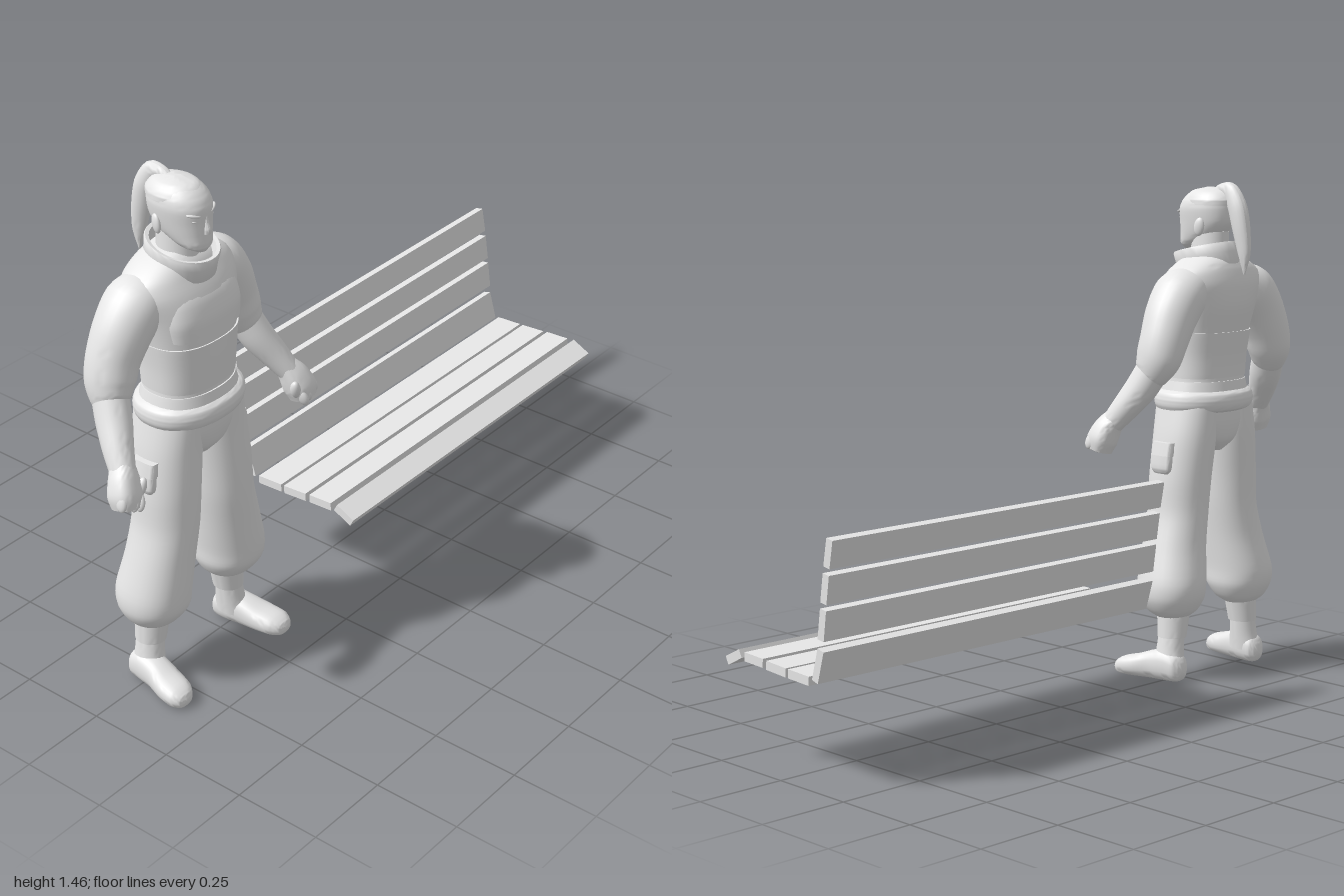
import * as THREE from 'three';
import { toCreasedNormals } from 'three/addons/utils/BufferGeometryUtils.js';

const gray = new THREE.MeshStandardMaterial({ color: 0xe7e7e7 });
gray.name = 'plain light gray';

function add(parent, name, geometry) {
  const mesh = new THREE.Mesh(geometry, gray);
  mesh.name = name;
  parent.add(mesh);
  return mesh;
}

// Smooth closed skin through elliptical rings [x, y, z, width radius, depth radius].
// dir fixes the ring axis (list rings along it); without it the rings follow the path.
function loft(rings, { n = 28, pow = 2, sub = 4, dir = null, ref = [0, 0, 1], crease = 0.8 } = {}) {
  const path = new THREE.CatmullRomCurve3(rings.map(r => new THREE.Vector3(r[0], r[1], r[2])), false, 'catmullrom', 0.4);
  const size = new THREE.CatmullRomCurve3(rings.map(r => new THREE.Vector3(r[3], r[4], 0)), false, 'catmullrom', 0.4);
  const steps = (rings.length - 1) * sub, pos = [], idx = [];
  const bend = v => Math.sign(v) * Math.pow(Math.abs(v), 2 / pow);
  const refV = new THREE.Vector3(...ref);
  for (let i = 0; i <= steps; i++) {
    const p = path.getPoint(i / steps), s = size.getPoint(i / steps);
    const t = dir ? new THREE.Vector3(...dir) : path.getTangent(i / steps);
    const u = new THREE.Vector3().crossVectors(t, refV).normalize();
    const w = new THREE.Vector3().crossVectors(u, t);
    for (let j = 0; j < n; j++) {
      const a = j / n * Math.PI * 2;
      const v = p.clone().addScaledVector(u, bend(Math.cos(a)) * s.x).addScaledVector(w, bend(Math.sin(a)) * s.y);
      pos.push(v.x, v.y, v.z);
    }
  }
  for (let i = 0; i < steps; i++) for (let j = 0; j < n; j++) {
    const a = i * n + j, b = i * n + (j + 1) % n;
    idx.push(a, a + n, b, b, a + n, b + n);
  }
  // end caps
  const first = path.getPoint(0), last = path.getPoint(1), c = pos.length / 3;
  pos.push(first.x, first.y, first.z, last.x, last.y, last.z);
  for (let j = 0; j < n; j++) {
    const k = (j + 1) % n;
    idx.push(c, j, k, c + 1, steps * n + k, steps * n + j);
  }
  const g = new THREE.BufferGeometry();
  g.setAttribute('position', new THREE.Float32BufferAttribute(pos, 3));
  g.setIndex(idx);
  return toCreasedNormals(g, crease);
}

const UP = [0, 1, 0];

function ball(parent, name, p, s, rot = [0, 0, 0]) {
  const m = add(parent, name, new THREE.SphereGeometry(1, 20, 14));
  m.position.set(...p); m.scale.set(...s); m.rotation.set(...rot);
}

function buildHead(man) {
  const head = new THREE.Group(); head.name = 'head'; man.add(head);
  add(head, 'skull', loft([
    [0, 1.266, .075, .016, .016], [0, 1.282, .058, .042, .042], [0, 1.31, .028, .055, .072],
    [0, 1.345, .013, .063, .087], [0, 1.385, .01, .068, .09], [0, 1.412, .005, .063, .082],
    [0, 1.434, .002, .045, .06], [0, 1.445, 0, .012, .018]], { dir: UP, pow: 2.2 }));
  add(head, 'neck', loft([[0, 1.2, 0, .055, .06], [0, 1.32, 0, .05, .058]], { dir: UP }));
  // cropped hair cap, set slightly back
  add(head, 'hairCap', loft([
    [0, 1.398, -.004, .067, .08], [0, 1.414, -.002, .065, .083],
    [0, 1.437, -.002, .046, .062], [0, 1.448, -.004, .012, .018]], { dir: UP }));
  add(head, 'nose', loft([
    [0, 1.318, .1, .01, .008], [0, 1.328, .098, .01, .013], [0, 1.35, .094, .007, .011],
    [0, 1.37, .092, .006, .008]], { dir: UP, n: 12 }));
  ball(head, 'mouth', [0, 1.302, .09], [.018, .004, .008]);
  for (const s of [-1, 1]) {
    ball(head, 'brow', [s * .03, 1.373, .086], [.024, .005, .01], [0, s * .35, s * .25]);
    ball(head, 'eye', [s * .028, 1.358, .085], [.012, .004, .008], [0, s * .3, 0]);
    ball(head, 'ear', [s * .063, 1.335, -.012], [.009, .027, .016], [-.15, s * .3, 0]);
  }
  // tied ponytail arching down behind the head
  add(head, 'ponytail', loft([
    [0, 1.425, -.02, .018, .016], [0, 1.442, -.045, .018, .015], [0, 1.436, -.078, .027, .02],
    [0, 1.39, -.105, .031, .025], [0, 1.33, -.12, .029, .023], [0, 1.26, -.132, .021, .015],
    [0, 1.2, -.133, .003, .003]], { n: 16, ref: [1, 0, 0] }));
}

function buildTorso(man) {
  add(man, 'jacket', loft([
    [0, .845, .02, .135, .105], [0, .9, .02, .127, .098], [0, 1.0, .02, .132, .106],
    [0, 1.1, .008, .15, .117], [0, 1.165, -.004, .17, .107], [0, 1.205, -.01, .158, .092],
    [0, 1.235, -.012, .112, .078], [0, 1.26, -.012, .06, .055]], { dir: UP, pow: 2.4, n: 40 }));
  // close-fitting wrap over the lower ribs
  add(man, 'waistWrap', loft([
    [0, .895, .02, .129, .1], [0, .96, .02, .132, .105], [0, 1.03, .017, .139, .113]],
  { dir: UP, pow: 2.5, n: 40 }));
  add(man, 'chestPanel', loft([
    [0, 1.05, .06, .122, .067], [0, 1.1, .055, .13, .071], [0, 1.15, .04, .126, .07],
    [0, 1.19, .02, .105, .062]], { dir: UP, pow: 3 }));
  add(man, 'hem', loft([
    [0, .85, .02, .14, .11], [0, .885, .02, .131, .103]], { dir: UP, pow: 2.3, n: 36 }));
  add(man, 'belt', loft([
    [0, .793, .02, .135, .102], [0, .803, .02, .153, .12], [0, .828, .02, .159, .127],
    [0, .85, .02, .153, .12], [0, .86, .02, .135, .102]], { dir: UP, pow: 2.2, n: 40 }));
  // tilted open collar
  const rim = [[.088, -.05], [.1, -.034], [.1, 0], [.103, .024], [.1, .029], [.09, .027], [.08, -.03]];
  const collar = add(man, 'collar', toCreasedNormals(
    new THREE.LatheGeometry(rim.map(p => new THREE.Vector2(...p)), 36), .8));
  collar.position.set(0, 1.244, .01);
  collar.rotation.x = .22;
  collar.scale.x = .88;
}

function buildArm(man, s) {
  const arm = new THREE.Group(); arm.name = s > 0 ? 'leftArm' : 'rightArm'; man.add(arm);
  add(arm, 'sleeve', loft([
    [s * .09, 1.178, -.015, .05, .065], [s * .145, 1.143, -.018, .077, .081],
    [s * .19, 1.085, -.022, .077, .077], [s * .223, 1.02, -.026, .07, .071],
    [s * .243, .965, -.022, .063, .068], [s * .258, .925, -.01, .05, .055],
    [s * .268, .905, 0, .038, .04]]));
  add(arm, 'forearm', loft([
    [s * .25, .95, -.02, .046, .05], [s * .274, .88, .015, .045, .049],
    [s * .3, .825, .05, .039, .042], [s * .322, .775, .085, .032, .034]]));
  // closed fist with curled fingers and thumb
  add(arm, 'fist', loft([
    [s * .316, .79, .078, .028, .03], [s * .33, .76, .095, .038, .036],
    [s * .341, .725, .108, .042, .04], [s * .346, .695, .115, .034, .034]], { pow: 2.8, crease: 1.1 }));
  for (let i = 0; i < 4; i++)
    ball(arm, 'finger', [s * (.32 + i * .017), .708 + i * .006, .135 - i * .004], [.0115, .027, .018], [-.3, 0, s * .25]);
  ball(arm, 'thumb', [s * .303, .735, .125], [.014, .03, .015], [.2, 0, s * .3]);
}

function buildLeg(man, s) {
  const leg = new THREE.Group(); leg.name = s > 0 ? 'leftLeg' : 'rightLeg'; man.add(leg);
  add(leg, 'baggyTrouser', loft([
    [s * .15, .188, 0, .042, .042], [s * .15, .21, .002, .073, .072], [s * .15, .25, .005, .094, .097],
    [s * .148, .3, .006, .096, .103], [s * .128, .4, .016, .089, .095], [s * .108, .5, .021, .083, .093],
    [s * .1, .6, .02, .084, .095], [s * .087, .72, .016, .082, .098], [s * .075, .82, .017, .073, .1]],
  { dir: UP, pow: 2.15, n: 32 }));
  // thigh pocket with flap
  add(leg, 'thighPocket', loft([
    [s * .178, .618, .02, .01, .025], [s * .178, .635, .02, .017, .035], [s * .172, .7, .02, .017, .035]],
  { dir: UP, pow: 4, n: 20 }));
  add(leg, 'pocketFlap', loft([
    [s * .175, .672, .02, .02, .038], [s * .169, .71, .02, .018, .037]], { dir: UP, pow: 4, n: 20 }));
  add(leg, 'ankleCuff', loft([
    [s * .158, .13, -.005, .041, .044], [s * .15, .2, -.003, .048, .049]], { dir: UP }));
  add(leg, 'ankle', loft([
    [s * .172, .04, -.004, .041, .052], [s * .165, .09, -.004, .038, .043], [s * .158, .15, -.005, .036, .039]], { dir: UP }));
  add(leg, 'shoe', loft([
    [s * .171, .035, -.059, .018, .022], [s * .172, .04, -.046, .034, .038], [s * .175, .047, -.01, .041, .047],
    [s * .183, .043, .04, .041, .043], [s * .194, .034, .09, .046, .034], [s * .202, .028, .135, .043, .028],
    [s * .205, .023, .158, .028, .02], [s * .206, .022, .165, .012, .01]],
  { dir: [0, 0, 1], ref: [0, -1, 0], pow: 2.5, n: 24 }));
}

function buildBench(root) {
  const bench = new THREE.Group(); bench.name = 'bench'; root.add(bench);
  // slats: [z, y, width, tilt about x]
  const slats = [
    ['seatSlat', .187, .289, .064, .46], ['seatSlat', .103, .296, .077, -.05],
    ['seatSlat', .011, .289, .079, -.07], ['seatSlat', -.08, .284, .083, -.05],
    ['backSlat', -.158, .327, .088, 1.29], ['backSlat', -.177, .434, .08, 1.43],
    ['backSlat', -.19, .527, .076, 1.42], ['backSlat', -.205, .618, .074, 1.39]];
  for (const [name, z, y, w, tilt] of slats) {
    const m = add(bench, name, new THREE.BoxGeometry(1.184, .024, w));
    m.position.set(.408, y, z);
    m.rotation.x = tilt;
  }
}

export function createModel() {
  const root = new THREE.Group(); root.name = 'figureAndBench';
  const man = new THREE.Group(); man.name = 'standingFigure';
  man.position.x = -.616;
  root.add(man);
  buildHead(man);
  buildTorso(man);
  add(man, 'trouserSeat', loft([
    [0, .675, .015, .03, .06], [0, .71, .016, .1, .088], [0, .76, .018, .148, .1], [0, .82, .02, .148, .104]],
  { dir: UP, pow: 2.3, n: 32 }));
  for (const s of [-1, 1]) { buildArm(man, s); buildLeg(man, s); }
  buildBench(root);
  return root;
}
